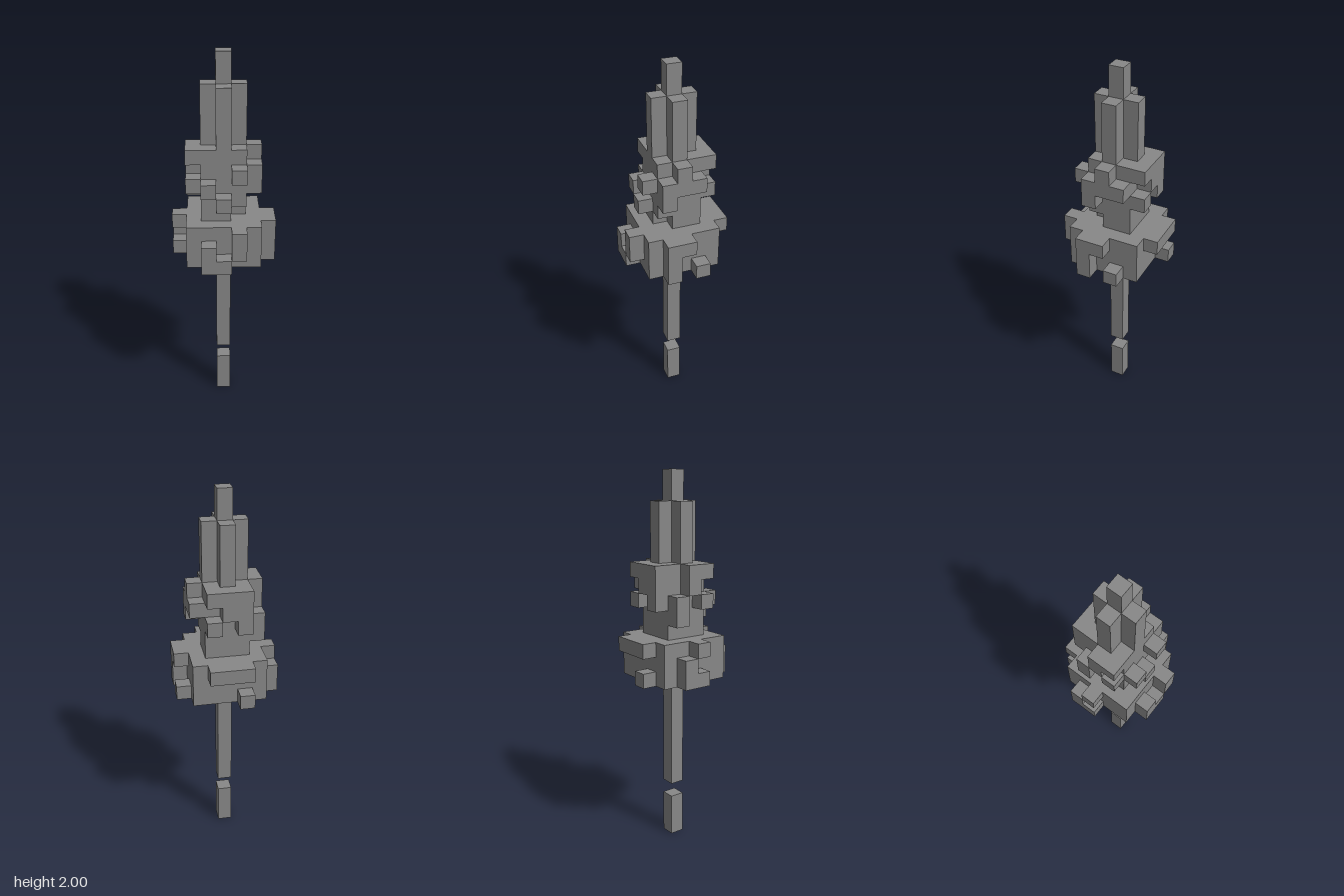
import * as THREE from 'three';

const U = 2 / 26; // edge of one cube

export function createModel() {
  const root = new THREE.Group();
  root.name = 'blockSpire';
  const grey = new THREE.MeshStandardMaterial({ color: 0x888888 });
  grey.name = 'stone grey';

  // Each block spans inclusive cube indices: [x0, x1, y0, y1, z0, z1]
  function part(name, blocks) {
    const group = new THREE.Group();
    group.name = name;
    for (const [x0, x1, y0, y1, z0, z1] of blocks) {
      const geo = new THREE.BoxGeometry((x1 - x0 + 1) * U, (y1 - y0 + 1) * U, (z1 - z0 + 1) * U);
      const mesh = new THREE.Mesh(geo, grey);
      mesh.name = name + 'Block';
      mesh.position.set((x0 + x1) / 2 * U, (y0 + y1 + 1) / 2 * U, (z0 + z1) / 2 * U);
      group.add(mesh);
    }
    root.add(group);
  }
  const cube = (x, y, z) => [x, x, y, y, z, z];

  // Thin pole with a one-cube gap near the foot
  part('foot', [[0, 0, 0, 2, 0, 0]]);
  part('pole', [[0, 0, 4, 11, 0, 0]]);

  // Wide collar and the cubes round its rim
  part('collar', [[-2, 2, 12, 14, -2, 2]]);
  part('collarFrontRim', [[-1, -1, 12, 13, 3, 3], cube(0, 12, 3), [1, 1, 13, 14, 3, 3]]);
  part('collarBackRim', [[-1, 1, 14, 14, -3, -3], cube(-1, 12, -3)]);
  part('collarLeftRim', [[3, 3, 12, 14, 1, 1], cube(3, 14, 0), cube(3, 12, -1)]);
  part('collarRightRim', [[-3, -3, 12, 13, -1, -1], cube(-3, 12, 0), cube(-3, 14, 0)]);

  // Middle core, notched at one lower corner
  part('core', [
    [-1, 1, 16, 19, -1, 1],
    [-1, 1, 15, 15, -1, 0],
    [-1, 0, 15, 15, 1, 1],
  ]);
  part('coreFrontKnobs', [cube(-1, 17, 2), cube(0, 16, 2), cube(1, 18, 2)]);
  part('coreBackKnobs', [
    [-1, 1, 19, 19, -2, -2], [-1, 0, 18, 18, -2, -2], cube(-1, 17, -2), cube(1, 17, -2),
  ]);
  part('coreLeftKnobs', [[2, 2, 17, 18, 1, 1], [2, 2, 18, 19, 0, 0], cube(2, 18, -1)]);
  part('coreRightKnobs', [
    [-2, -2, 19, 19, 0, 1], cube(-2, 18, 0), cube(-2, 17, 1), [-2, -2, 16, 17, -1, -1],
  ]);

  // Cross-shaped upper shaft and its tip
  part('upperShaft', [[1, 0], [-1, 0], [0, 1], [0, -1]].map(([x, z]) => [x, x, 20, 23, z, z]));
  part('tip', [[0, 0, 20, 25, 0, 0]]);

  return root;
}
